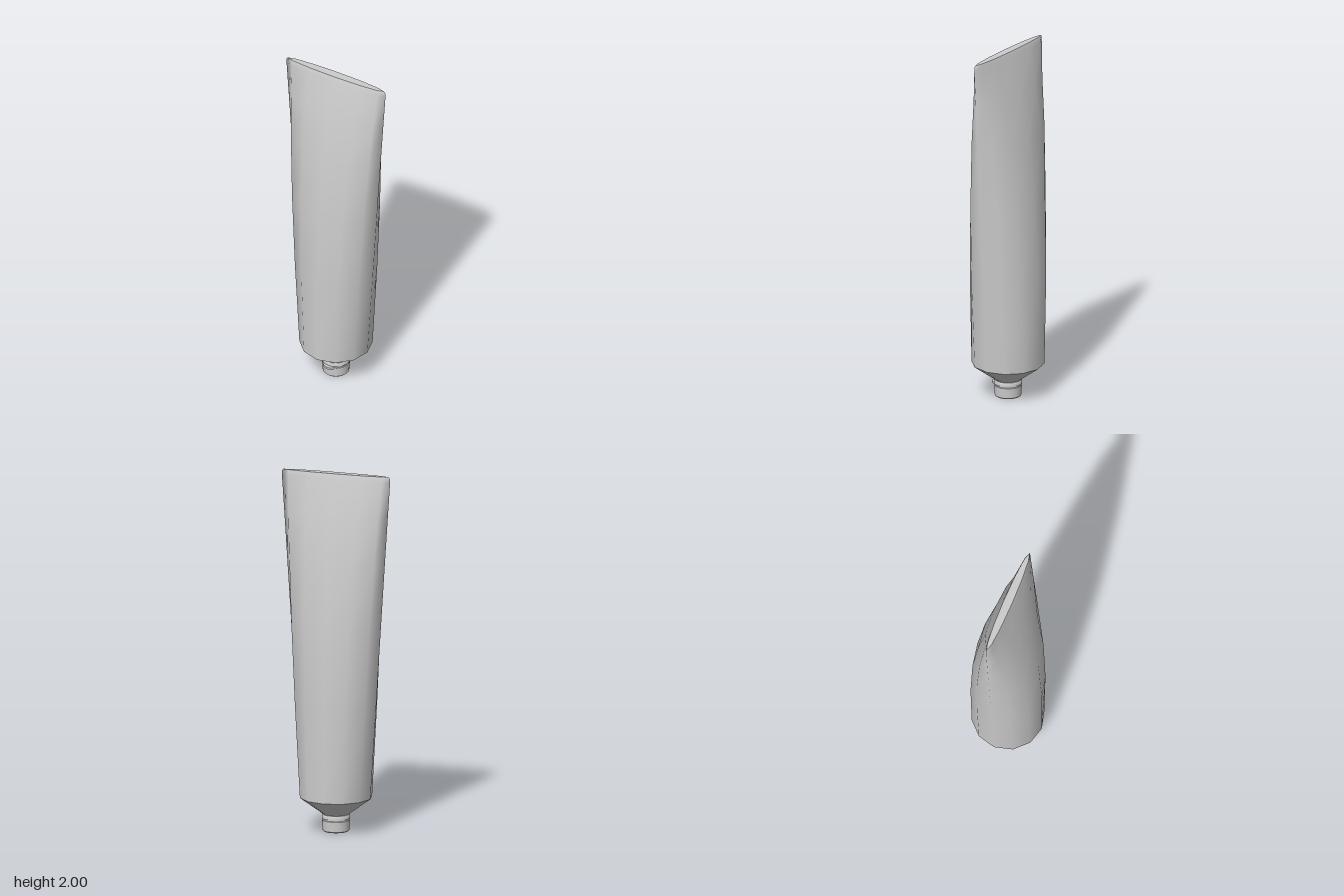
import * as THREE from 'three';
import { mergeVertices, toCreasedNormals } from 'three/addons/utils/BufferGeometryUtils.js';

const material = new THREE.MeshStandardMaterial({ color: 0xcccccc });
const SIDES = 12;

function addMesh(parent, name, geometry) {
  const mesh = new THREE.Mesh(geometry, material);
  mesh.name = name;
  parent.add(mesh);
  return mesh;
}

// Turned part from [radius, y] points, bottom to top
function turned(points, sides) {
  const profile = points.map(([r, y]) => new THREE.Vector2(r, y));
  return toCreasedNormals(new THREE.LatheGeometry(profile, sides), 0.6);
}

// Elliptical rings, bottom to top: [y, half width, half depth]
const rings = [
  [0.19, 0.2, 0.2],
  [0.7, 0.233, 0.2],
  [1.15, 0.261, 0.18],
  [1.52, 0.285, 0.134],
  [1.78, 0.302, 0.085],
  [1.97, 0.315, 0.034],
  [1.99, 0.314, 0.028],
  [2.0, 0.305, 0.024],
];

// Squeezed tube: a cylinder whose rings follow the table above
function tubeGeometry() {
  const geometry = new THREE.CylinderGeometry(1, 1, 1, SIDES, rings.length - 1, true);
  geometry.deleteAttribute('uv');
  geometry.deleteAttribute('normal');
  const p = geometry.attributes.position;
  for (let i = 0; i < p.count; i++) {
    const [y, w, d] = rings[Math.round((p.getY(i) + 0.5) * (rings.length - 1))];
    p.setXYZ(i, p.getX(i) * w, y, p.getZ(i) * d);
  }
  const merged = mergeVertices(geometry);
  merged.computeVertexNormals();
  return merged;
}

export function createModel() {
  const model = new THREE.Group();
  model.name = 'squeezeTube';

  addMesh(model, 'tubeBody', tubeGeometry());

  // Flat sealed end
  const [topY, topW, topD] = rings[rings.length - 1];
  const seal = new THREE.CircleGeometry(1, SIDES).rotateX(-Math.PI / 2);
  seal.scale(topW, 1, topD).translate(0, topY, 0);
  addMesh(model, 'sealedEnd', seal);

  // Conical shoulder down to the neck
  addMesh(model, 'shoulder', turned([[0.07, 0.095], [0.2, 0.19]], SIDES));

  // Cap: lid below, thin groove, collar above
  const cap = new THREE.Group();
  cap.name = 'cap';
  addMesh(cap, 'lid', turned(
    [[0, 0], [0.068, 0], [0.073, 0.005], [0.076, 0.062], [0.072, 0.065]], 24));
  addMesh(cap, 'groove', turned([[0.072, 0.064], [0.072, 0.073]], 24));
  addMesh(cap, 'collar', turned(
    [[0.072, 0.072], [0.078, 0.073], [0.078, 0.088], [0.074, 0.095], [0, 0.095]], 24));

  // Thumb tab on the front of the lid
  const outline = new THREE.Shape();
  outline.moveTo(-0.045, 0.055);
  outline.quadraticCurveTo(-0.035, 0.095, 0, 0.097);
  outline.quadraticCurveTo(0.035, 0.095, 0.045, 0.055);
  outline.closePath();
  const tab = new THREE.ExtrudeGeometry(outline, { depth: 0.012, bevelEnabled: false, curveSegments: 6 });
  tab.rotateX(Math.PI / 2).translate(0, 0.074, 0);
  addMesh(cap, 'thumbTab', tab);
  model.add(cap);

  return model;
}
